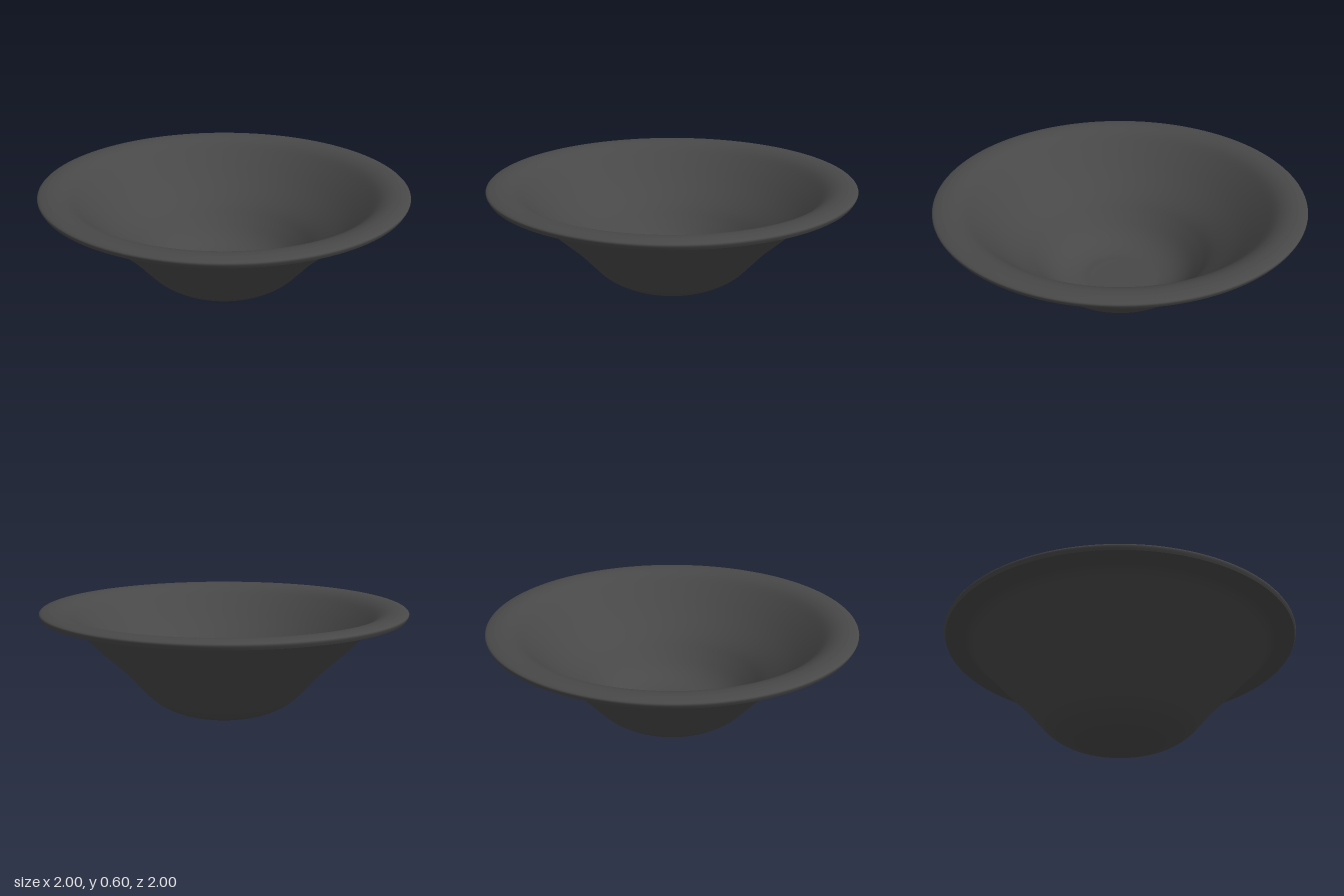
import * as THREE from 'three';

const material = new THREE.MeshStandardMaterial({ color: 0x484848, side: THREE.DoubleSide });

// Revolves a smooth curve through [radius, height] points
function revolve(name, points, steps) {
  const curve = new THREE.SplineCurve(points.map(([r, y]) => new THREE.Vector2(r, y)));
  const profile = curve.getPoints(steps);
  profile.forEach((p) => { p.x = Math.max(p.x, 0); p.y = Math.max(p.y, 0); });
  const mesh = new THREE.Mesh(new THREE.LatheGeometry(profile, 128), material);
  mesh.name = name;
  return mesh;
}

export function createModel() {
  const bowl = new THREE.Group();
  bowl.name = 'bowl';

  // Flat foot
  bowl.add(revolve('foot', [[0, 0], [0.2, 0]], 2));

  // Outer wall, flaring up to the underside of the lip
  bowl.add(revolve('outerWall', [
    [0.2, 0], [0.25, 0.005], [0.33, 0.033], [0.41, 0.085], [0.48, 0.16], [0.56, 0.25],
    [0.69, 0.375], [0.79, 0.48], [0.85, 0.54], [0.885, 0.557], [0.93, 0.56], [0.99, 0.56],
  ], 60));

  // Outer edge of the lip, rounded over at the top
  bowl.add(revolve('lipEdge', [
    [0.99, 0.56], [1, 0.583], [0.985, 0.594], [0.95, 0.6],
  ], 12));

  // Lip top rolling over into the inner wall and floor
  bowl.add(revolve('innerWall', [
    [0.95, 0.6], [0.91, 0.597], [0.87, 0.584], [0.83, 0.558], [0.77, 0.5], [0.66, 0.39],
    [0.53, 0.27], [0.46, 0.19], [0.39, 0.115], [0.32, 0.068], [0.24, 0.043], [0.17, 0.04], [0, 0.04],
  ], 60));

  return bowl;
}
